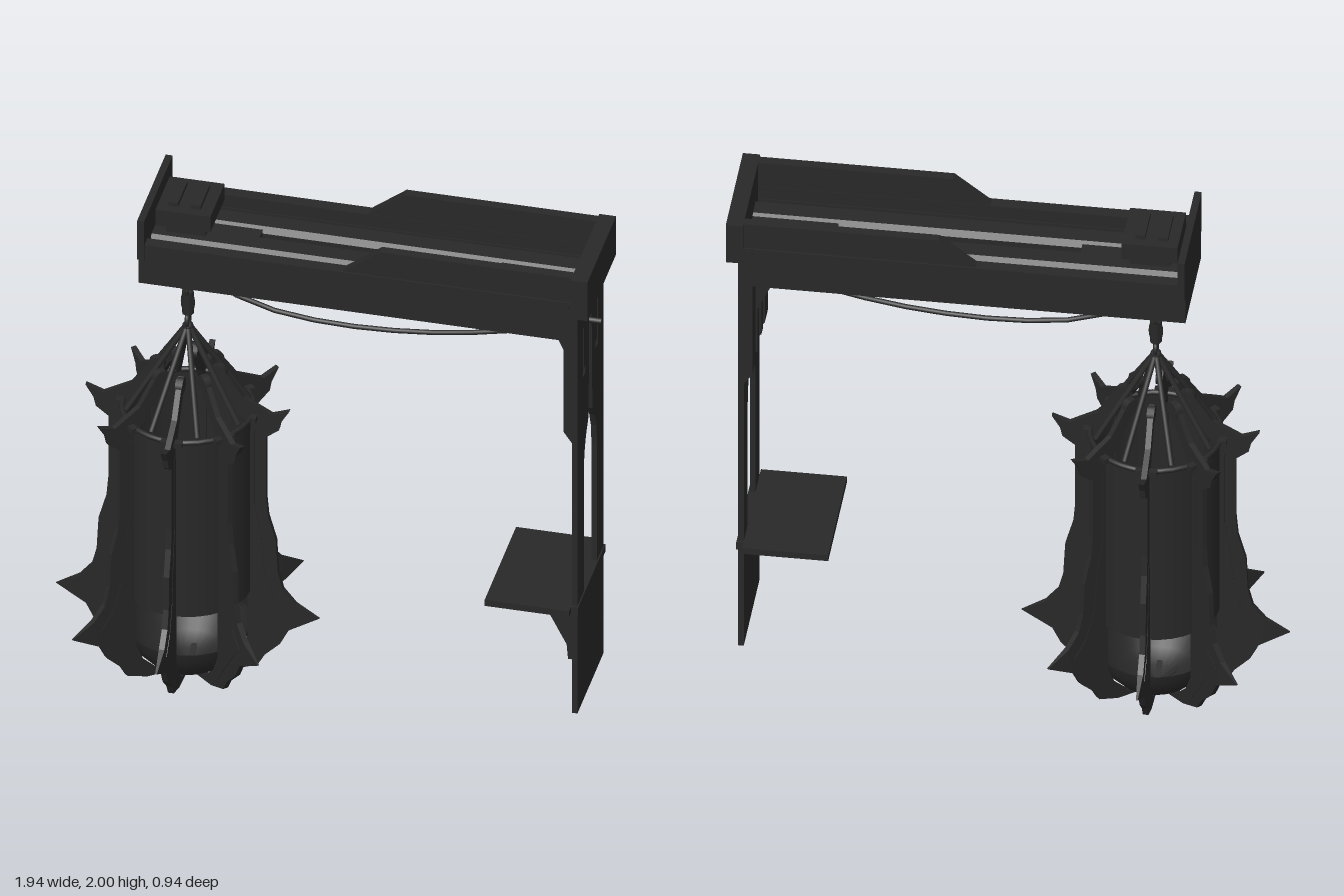
import * as THREE from 'three';

const mat = new THREE.MeshStandardMaterial({ color: 0x282828, side: THREE.DoubleSide });
const V = (x, y, z = 0) => new THREE.Vector3(x, y, z);

function add(parent, name, geo, x = 0, y = 0, z = 0) {
  const m = new THREE.Mesh(geo, mat);
  m.name = name;
  m.position.set(x, y, z);
  parent.add(m);
  return m;
}

// Box given by its limits on each axis
function box(parent, name, x0, x1, y0, y1, z0, z1) {
  return add(parent, name, new THREE.BoxGeometry(x1 - x0, y1 - y0, z1 - z0),
    (x0 + x1) / 2, (y0 + y1) / 2, (z0 + z1) / 2);
}

const shapeOf = pts => new THREE.Shape(pts.map(p => new THREE.Vector2(p[0], p[1])));

// Flat plate of a side outline, centred on its thickness
function plate(outline, depth) {
  const g = new THREE.ExtrudeGeometry(Array.isArray(outline) ? shapeOf(outline) : outline,
    { depth, bevelEnabled: false });
  return g.translate(0, 0, -depth / 2);
}

// Straight round bar between two points
function rod(parent, name, a, b, r, sides = 8) {
  const m = add(parent, name, new THREE.CylinderGeometry(r, r, a.distanceTo(b), sides));
  m.position.copy(a).lerp(b, 0.5);
  m.quaternion.setFromUnitVectors(V(0, 1, 0), b.clone().sub(a).normalize());
  return m;
}

function buildBeam() {
  const g = new THREE.Group();
  g.name = 'beam';
  box(g, 'outerEndPlate', -0.63, -0.605, 1.84, 2, -0.21, 0.21);
  box(g, 'outerEndPlateFoot', -0.63, -0.605, 1.73, 1.84, -0.19, 0.19);
  box(g, 'columnEndPlate', 0.91, 0.97, 1.84, 2, -0.21, 0.21);
  for (const s of [-1, 1]) {
    const pair = (name, x0, x1, y0, y1, a, b) =>
      box(g, name, x0, x1, y0, y1, Math.min(s * a, s * b), Math.max(s * a, s * b));
    pair('sideRail', -0.61, 0.92, 1.73, 1.85, 0.155, 0.19);
    pair('railLedge', -0.61, 0.92, 1.845, 1.9, 0.16, 0.205);
    // Inner beam with a chamfered top, along the whole length
    const bar = add(g, 'innerBeam', plate([[0.018, 1.745], [0.018, 1.86], [0.035, 1.88], [0.1, 1.88],
      [0.125, 1.85], [0.125, 1.745]].map(([z, y]) => [-s * z, y]), 1.52), 0.15);
    bar.rotation.y = Math.PI / 2;
    pair('floorBoard', -0.61, 0.91, 1.745, 1.77, 0.12, 0.16);
    // Raised guard board with a sloping end
    add(g, 'guardBoard', plate([[0.1, 1.88], [0.1, 1.9], [0.23, 2], [0.92, 2], [0.92, 1.88]], 0.035), 0, 0, s * 0.18);
    rod(g, 'railBolt', V(0.89, 1.88, s * 0.195), V(0.89, 1.88, s * 0.21), 0.014);
  }
  box(g, 'outerFloor', -0.61, -0.24, 1.755, 1.87, -0.03, 0.03);
  box(g, 'innerFloor', 0.61, 0.91, 1.755, 1.87, -0.03, 0.03);
  // Winch housing
  box(g, 'winchBase', -0.56, -0.42, 1.86, 1.93, -0.075, 0.075);
  box(g, 'winchBody', -0.59, -0.395, 1.92, 1.985, -0.105, 0.105);
  for (const x of [-0.535, -0.455])
    box(g, 'winchTopBar', x - 0.017, x + 0.017, 1.98, 2, -0.07, 0.07);
  return g;
}

function buildColumn() {
  const g = new THREE.Group();
  g.name = 'column';
  // Wall panel with an arched window running up into a slit, drawn in z and y
  const panel = shapeOf([[-0.19, 0.18], [0.19, 0.18], [0.19, 1.84], [-0.19, 1.84]]);
  const hole = pts => panel.holes.push(new THREE.Path(pts.map(p => new THREE.Vector2(p[0], p[1]))));
  const arch = [[0.097, 0.63], [0.097, 1.12], [0.088, 1.2], [0.065, 1.26], [0.03, 1.31], [0.024, 1.46], [0.018, 1.72]];
  hole([...arch, ...arch.map(([z, y]) => [-z, y]).reverse()]);
  for (const s of [-1, 1])
    hole([[s * 0.075, 1.53], [s * 0.11, 1.53], [s * 0.11, 1.73], [s * 0.095, 1.73], [s * 0.095, 1.56], [s * 0.075, 1.56]]);
  add(g, 'wallPanel', plate(panel, 0.02), 0.92).rotation.y = -Math.PI / 2;
  for (const s of [-1, 1]) {
    add(g, 'sidePad', plate([[0.88, 1.74], [0.88, 1.35], [0.915, 1.3], [0.915, 1.74]], 0.075), 0, 0, s * 0.1525);
    // Stud beside the slit, spreading into a bracket below the beam
    add(g, 'beamBracket', plate([[0.795, 1.76], [0.795, 1.735], [0.835, 1.64], [0.88, 1.54], [0.88, 1.36],
      [0.915, 1.33], [0.915, 1.76]], 0.035), 0, 0, s * 0.05);
  }
  box(g, 'shelf', 0.61, 0.91, 0.605, 0.63, -0.23, 0.23);
  box(g, 'shelfCleat', 0.9, 0.935, 0.6, 0.63, -0.2, 0.2);
  add(g, 'shelfBracket', plate([[0.79, 0.605], [0.88, 0.43], [0.885, 0.37], [0.915, 0.37], [0.915, 0.605]], 0.025), 0, 0, 0.13);
  return g;
}

function buildTackle() {
  const g = new THREE.Group();
  g.name = 'tackle';
  // Hanging block and its pulley
  add(g, 'hangerBlock', plate([[-0.55, 1.8], [-0.55, 1.73], [-0.535, 1.64], [-0.515, 1.61], [-0.475, 1.61], [-0.455, 1.66], [-0.45, 1.73], [-0.45, 1.8]], 0.05));
  rod(g, 'pulley', V(-0.45, 1.655, -0.02), V(-0.45, 1.655, 0.02), 0.032, 16);
  // Chain of links, alternately turned
  for (const [y, stretch, turn] of [[1.6, 1.2, 1], [1.545, 2.1, 0], [1.47, 1.2, 1]]) {
    const link = add(g, 'chainLink', new THREE.TorusGeometry(0.017, 0.0085, 8, 16), -0.5, y);
    link.scale.y = stretch;
    link.rotation.y = turn * Math.PI / 2;
  }
  rod(g, 'chainSwivel', V(-0.5, 1.5), V(-0.5, 1.59), 0.021);
  // Sagging rope
  const sag = new THREE.CatmullRomCurve3([V(-0.45, 1.67), V(-0.36, 1.615), V(-0.2, 1.56), V(0.05, 1.537),
    V(0.36, 1.555), V(0.65, 1.61), V(0.83, 1.665), V(0.92, 1.7)]);
  add(g, 'rope', new THREE.TubeGeometry(sag, 10, 0.009, 8));
  rod(g, 'ropePin', V(0.89, 1.7), V(0.97, 1.7), 0.011);
  return g;
}

function buildLantern() {
  const g = new THREE.Group();
  g.name = 'lantern';
  g.position.x = -0.5;
  const lathe = pts => new THREE.LatheGeometry(pts.map(p => new THREE.Vector2(p[0], p[1])), 32);
  add(g, 'drum', lathe([[0.225, 0.38], [0.225, 1.12]]));
  add(g, 'bowl', lathe([[0, 0.025], [0.08, 0.045], [0.14, 0.08], [0.185, 0.13], [0.21, 0.18], [0.22, 0.215]]));
  add(g, 'drumRim', new THREE.TorusGeometry(0.228, 0.01, 8, 32), 0, 1.11).rotation.x = Math.PI / 2;
  // Fin outline: radius from the axis, then height
  const finGeo = plate([
    [0, 0.005], [0.07, 0.035], [0.17, 0.045], [0.25, 0.075], [0.275, 0.12], [0.33, 0.175], [0.36, 0.235],
    [0.468, 0.297], [0.385, 0.345], [0.34, 0.4], [0.322, 0.47], [0.315, 0.6], [0.287, 0.7], [0.28, 0.78],
    [0.28, 1.03], [0.325, 1.065], [0.333, 1.1], [0.362, 1.148], [0.3, 1.125], [0.255, 1.15], [0.2, 1.18],
    [0.13, 1.285], [0.1, 1.3], [0.085, 1.265], [0.165, 1.15], [0.185, 1.11], [0.215, 1.08],
    [0.215, 0.19], [0.185, 0.12], [0.13, 0.065], [0, 0.025]], 0.02);
  // Narrow the fin to a sharp point towards its outer tip
  const p = finGeo.attributes.position;
  for (let i = 0; i < p.count; i++)
    if (p.getX(i) > 0.4) p.setZ(i, p.getZ(i) * 0.3);
  finGeo.computeVertexNormals();
  // Rib along the inner edge of the blade
  const ribGeo = plate([[0.22, 0.1], [0.27, 0.18], [0.33, 0.27], [0.36, 0.3], [0.31, 0.36], [0.275, 0.47],
    [0.262, 0.62], [0.24, 0.75], [0.24, 1.05], [0.215, 1.05], [0.215, 0.19]], 0.024);
  const knobGeo = new THREE.CylinderGeometry(0.03, 0.03, 0.026, 12).rotateX(Math.PI / 2);
  for (let i = 0; i < 8; i++) {
    const side = new THREE.Group();
    side.name = 'cageSide';
    side.rotation.y = i * Math.PI / 4;
    add(side, 'fin', finGeo);
    add(side, 'finRib', ribGeo);
    add(side, 'armKnob', knobGeo, 0.11, 1.27);
    box(side, 'finClip', 0.225, 0.25, 1.1, 1.12, -0.038, 0.038);
    // Hanging bars sit between the fins
    const a = Math.PI / 8;
    rod(side, 'hangingBar', V(0.01 * Math.cos(a), 1.44, 0.01 * Math.sin(a)),
      V(0.215 * Math.cos(a), 1.12, 0.215 * Math.sin(a)), 0.0105);
    g.add(side);
  }
  add(g, 'crownBoss', new THREE.SphereGeometry(0.02, 12, 8), 0, 1.445);
  return g;
}

export function createModel() {
  const model = new THREE.Group();
  model.name = 'hangingLantern';
  model.add(buildBeam(), buildColumn(), buildTackle(), buildLantern());
  return model;
}
